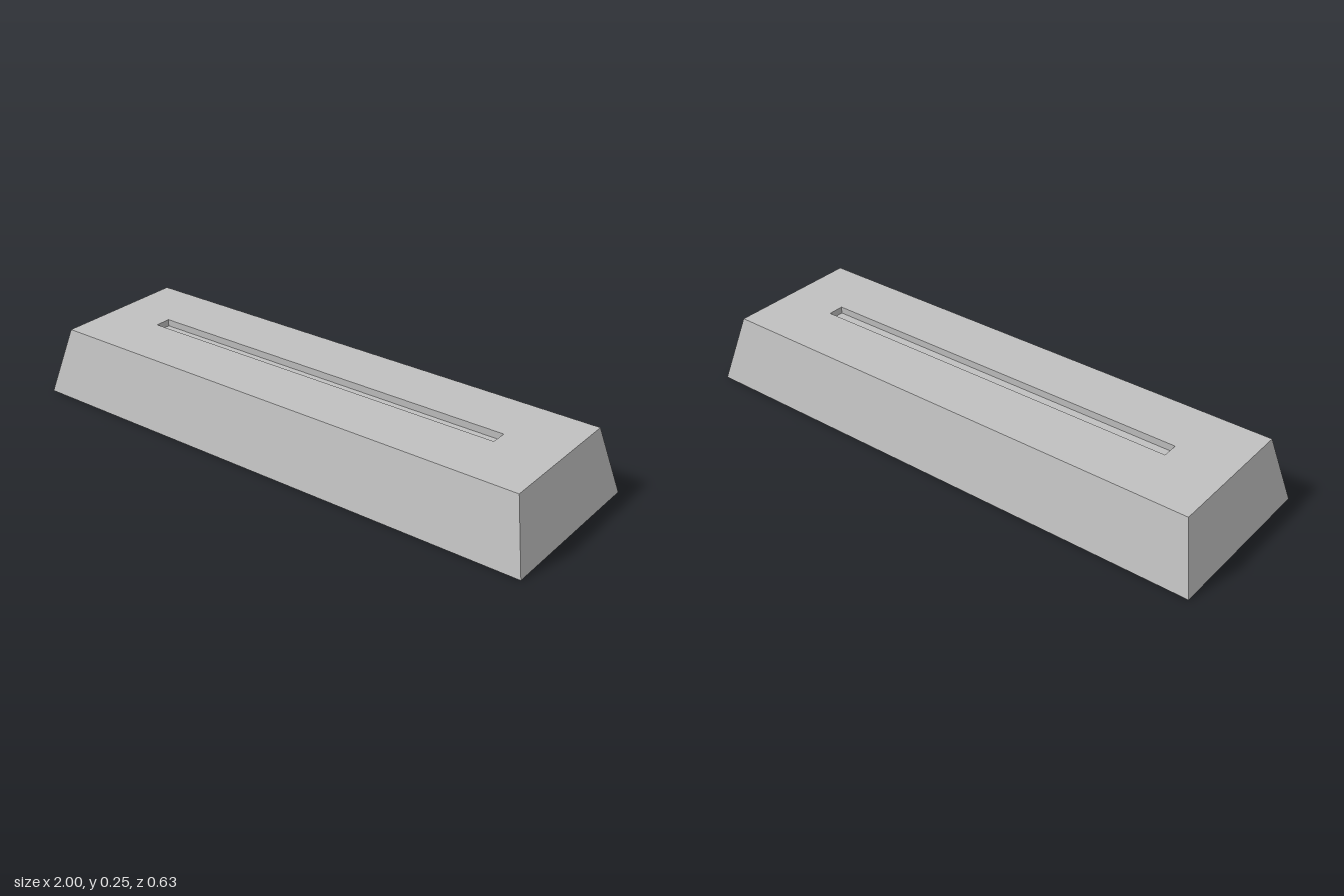
import * as THREE from 'three';
import { toCreasedNormals } from 'three/addons/utils/BufferGeometryUtils.js';

const HEIGHT = 0.245, CEILING = 0.193;

// Skin over a series of rectangles [half width, half depth, y], closed at both ends
function loftRectangles(sections) {
  const rings = sections.map(([x, z, y]) => [[x, y, z], [x, y, -z], [-x, y, -z], [-x, y, z]]);
  const positions = [];
  const quad = (a, b, c, d) => positions.push(...a, ...b, ...c, ...a, ...c, ...d);
  for (let r = 0; r < rings.length - 1; r++) {
    for (let i = 0; i < 4; i++) {
      const j = (i + 1) % 4;
      quad(rings[r][i], rings[r][j], rings[r + 1][j], rings[r + 1][i]);
    }
  }
  const [first, last] = [rings[0], rings[rings.length - 1]];
  quad(...first.slice().reverse());
  quad(...last);
  const geometry = new THREE.BufferGeometry();
  geometry.setAttribute('position', new THREE.Float32BufferAttribute(positions, 3));
  geometry.computeVertexNormals();
  return geometry;
}

// Round post with a cross-shaped socket
function stemGeometry(bottom, radius, armLength, armWidth) {
  const shape = new THREE.Shape().absarc(0, 0, radius, 0, Math.PI * 2, false);
  const l = armLength / 2, w = armWidth / 2;
  const cross = [[l, -w], [l, w], [w, w], [w, l], [-w, l], [-w, w],
    [-l, w], [-l, -w], [-w, -w], [-w, -l], [w, -l], [w, -w]];
  shape.holes.push(new THREE.Path(cross.map(([x, y]) => new THREE.Vector2(x, y))));
  const geometry = new THREE.ExtrudeGeometry(shape, {
    depth: CEILING - bottom, bevelEnabled: false, curveSegments: 24,
  });
  geometry.rotateX(-Math.PI / 2).translate(0, bottom, 0);
  return toCreasedNormals(geometry, Math.PI / 6);
}

export function createModel() {
  const group = new THREE.Group();
  group.name = 'keycap';
  const grey = new THREE.MeshStandardMaterial({ color: 0xc0c0c0 });
  grey.name = 'light grey';

  // Hollow tapered shell with a shallow slot in the top
  const shell = new THREE.Mesh(loftRectangles([
    [0.9, 0.215, CEILING],        // ceiling
    [0.948, 0.262, 0],            // inner rim
    [1, 0.314, 0],                // outer rim
    [0.94, 0.254, HEIGHT],        // top edge
    [0.72, 0.03, HEIGHT],         // slot edge
    [0.72, 0.03, HEIGHT - 0.025], // slot floor
  ]), grey);
  shell.name = 'shell';
  group.add(shell);

  // Two mounting stems under the ceiling
  const stem = stemGeometry(0.055, 0.096, 0.143, 0.045);
  for (const side of [-1, 1]) {
    const mesh = new THREE.Mesh(stem, grey);
    mesh.name = side > 0 ? 'leftStem' : 'rightStem';
    mesh.position.x = side * 0.668;
    group.add(mesh);
  }
  return group;
}
